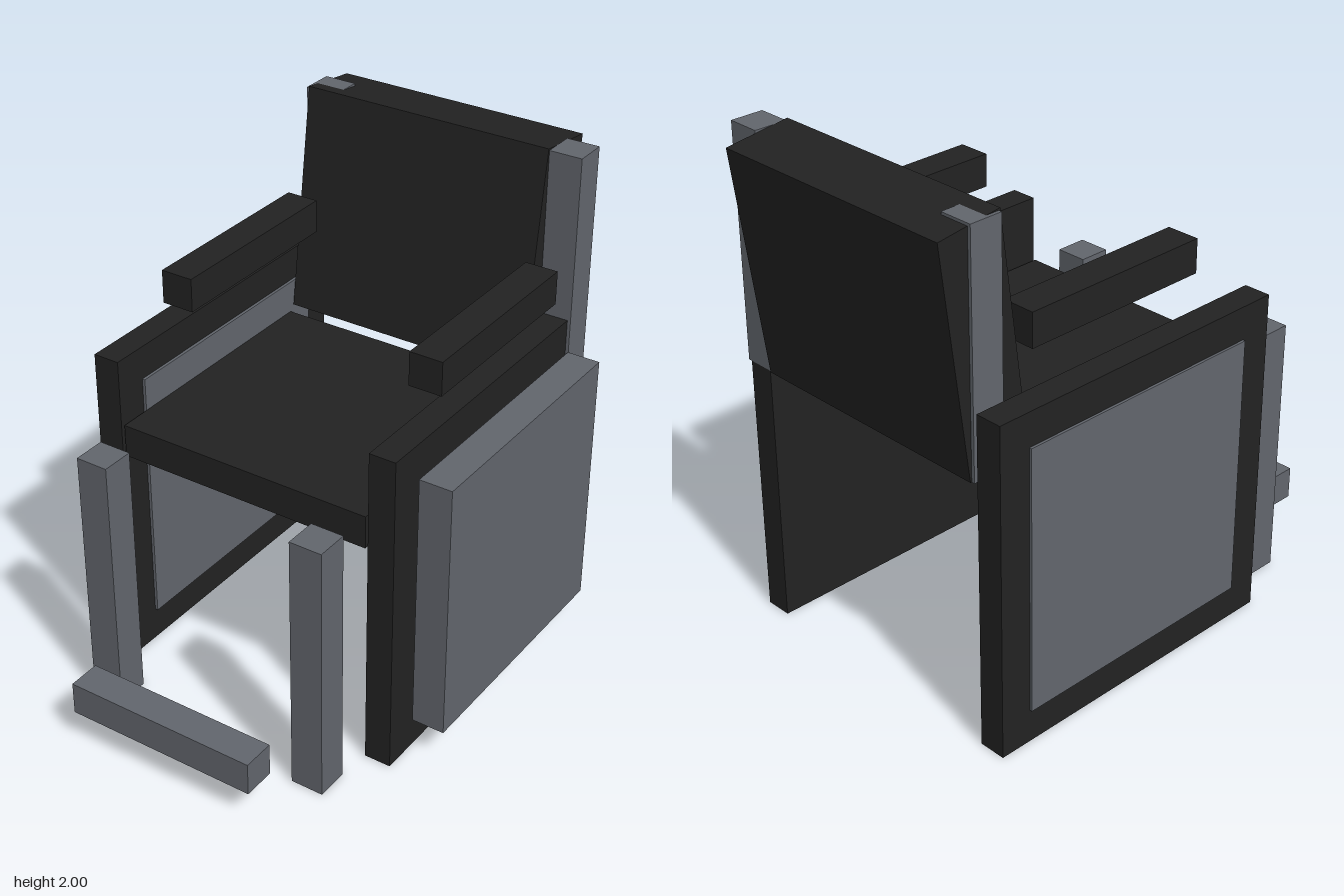
import * as THREE from 'three';

export function createModel() {
  const chair = new THREE.Group();
  chair.name = 'chair';
  const black = new THREE.MeshStandardMaterial({ color: 0x222222 });
  black.name = 'black';
  const grey = new THREE.MeshStandardMaterial({ color: 0x62666d });
  grey.name = 'grey';

  // Box given by its [min, max] range on each axis
  const block = (name, material, x, y, z) => {
    const mesh = new THREE.Mesh(
      new THREE.BoxGeometry(x[1] - x[0], y[1] - y[0], z[1] - z[0]), material);
    mesh.position.set((x[0] + x[1]) / 2, (y[0] + y[1]) / 2, (z[0] + z[1]) / 2);
    mesh.name = name;
    chair.add(mesh);
    return mesh;
  };

  // Seat and reclined backrest
  block('seat', black, [-0.6, 0.464], [0.933, 1.065], [-0.605, 0.46]);
  const backrest = block('backrest', black, [-0.587, 0.464], [1.0785, 1.9865], [-0.931, -0.666]);
  backrest.rotation.x = -THREE.MathUtils.degToRad(7.5);

  // Black side panels; the grey inset passes through the right one
  // and stands just outside the left one
  const panelY = [0, 1.33], panelZ = [-0.863, 0.463];
  const insetY = [0.135, 1.197], insetZ = [-0.732, 0.33];
  block('rightSidePanel', black, [-0.72, -0.612], panelY, panelZ);
  block('leftSidePanel', black, [0.476, 0.584], panelY, panelZ);
  block('rightSideInset', grey, [-0.73, -0.6], insetY, insetZ);
  block('leftSideInset', grey, [0.596, 0.729], insetY, insetZ);

  // Armrests and back posts share the same x ranges
  for (const [side, x] of [['right', [-0.6, -0.467]], ['left', [0.464, 0.597]]]) {
    block(side + 'Armrest', black, x, [1.463, 1.597], [-0.6, 0.2]);
    block(side + 'BackPost', grey, x, [1.065, 1.992], [-0.865, -0.732]);
  }

  // Front legs and footrest
  block('rightFrontLeg', grey, [-0.6, -0.467], [0, 1.065], [0.597, 0.73]);
  block('leftFrontLeg', grey, [0.331, 0.464], [0, 1.065], [0.597, 0.73]);
  block('footrest', grey, [-0.467, 0.331], [0.133, 0.266], [0.863, 0.995]);

  return chair;
}
